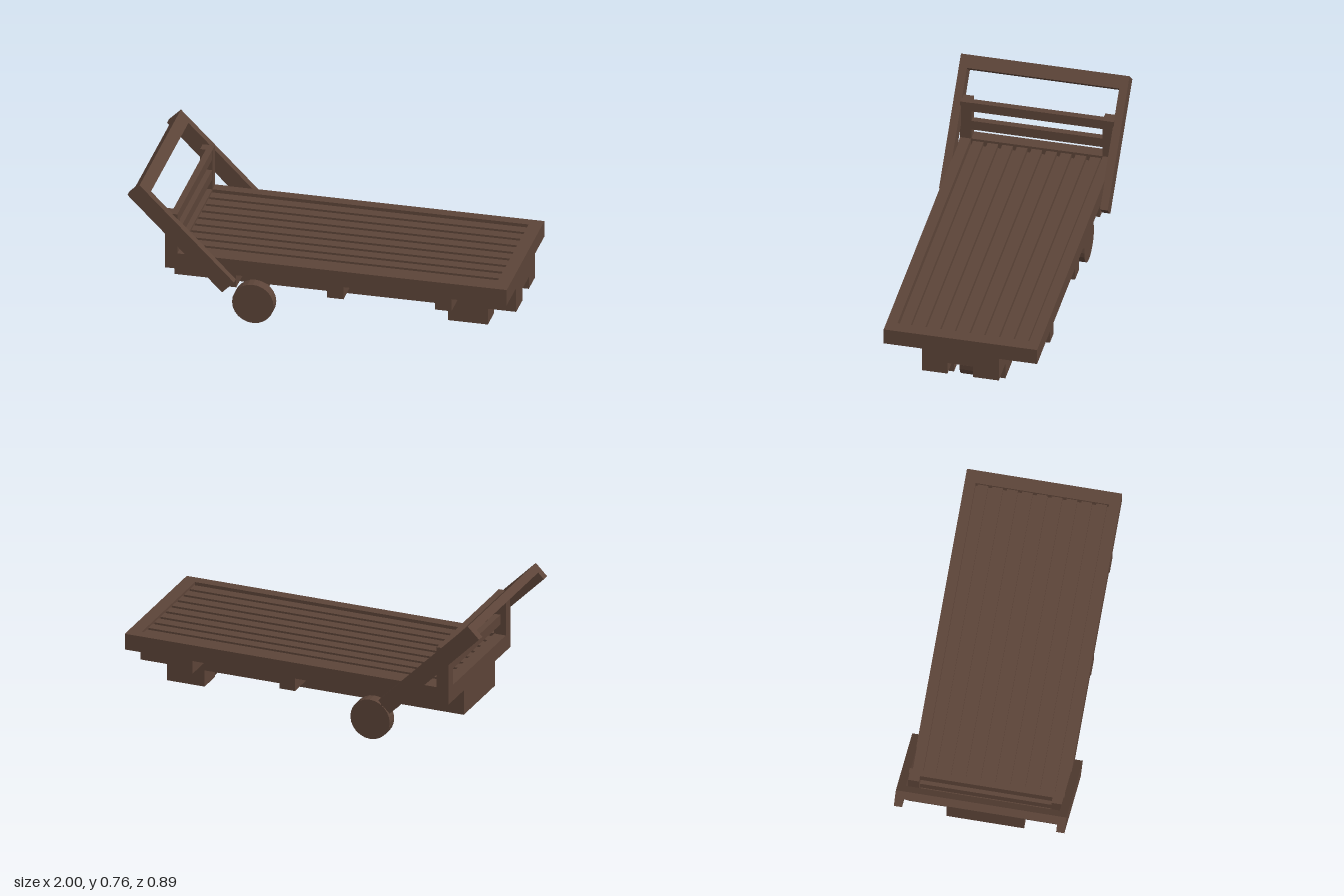
import * as THREE from 'three';

export function createModel() {
  const model = new THREE.Group();
  model.name = 'platformCart';
  const wood = new THREE.MeshStandardMaterial({ color: 0x5c4438, flatShading: true });
  wood.name = 'dark brown wood';

  // Box given by its low and high limits on each axis
  const box = (name, [x0, x1], [y0, y1], [z0, z1], parent = model) => {
    const mesh = new THREE.Mesh(new THREE.BoxGeometry(x1 - x0, y1 - y0, z1 - z0), wood);
    mesh.position.set((x0 + x1) / 2, (y0 + y1) / 2, (z0 + z1) / 2);
    mesh.name = name;
    parent.add(mesh);
  };
  // The same box on both sides
  const pair = (name, xs, ys, [z0, z1], parent = model) => {
    box(name + 'Left', xs, ys, [z0, z1], parent);
    box(name + 'Right', xs, ys, [-z1, -z0], parent);
  };
  // Round part lying along z
  const round = (name, radius, width, x, y, z, sides = 20) => {
    const mesh = new THREE.Mesh(new THREE.CylinderGeometry(radius, radius, width, sides), wood);
    mesh.rotation.x = Math.PI / 2;
    mesh.position.set(x, y, z);
    mesh.name = name;
    model.add(mesh);
  };

  // Deck: floor, raised rim and slats set into it
  box('deckFloor', [-0.81, 1], [0.285, 0.335], [-0.405, 0.405]);
  pair('deckSideRim', [-0.81, 1], [0.335, 0.373], [0.348, 0.405]);
  box('deckBackRim', [-0.81, -0.745], [0.335, 0.373], [-0.348, 0.348]);
  box('deckFrontRim', [0.93, 1], [0.335, 0.373], [-0.348, 0.348]);
  for (let i = -4; i <= 4; i++) {
    const z = i * 0.0775;
    box('deckSlat', [-0.745, 0.93], [0.335, 0.36], [z - 0.028, z + 0.028]);
  }

  // Central beam, notched at the caster end
  box('centralBeam', [-0.81, 0.64], [0.148, 0.285], [-0.203, 0.203]);
  box('notchRoof', [0.64, 1], [0.215, 0.285], [-0.068, 0.068]);
  pair('beamFork', [0.64, 1], [0.148, 0.285], [0.068, 0.203]);

  // Cross bearers under the deck
  for (const x of [-0.52, 0.048, 0.62]) {
    pair('crossBearer', [x, x + 0.087], [0.215, 0.285], [0.203, 0.405]);
  }

  // Caster wheel and its blocks
  pair('casterBlock', [0.64, 0.85], [0.057, 0.148], [0.068, 0.203]);
  box('casterBackBlock', [0.64, 0.665], [0.12, 0.215], [-0.068, 0.068]);
  round('casterWheel', 0.1, 0.082, 0.745, 0.1, 0);
  round('casterAxle', 0.02, 0.15, 0.745, 0.1, 0, 12);

  // Main axle and wheels
  round('mainAxle', 0.031, 0.64, -0.355, 0.111, 0, 16);
  for (const s of [-1, 1]) round('mainWheel', 0.11, 0.06, -0.355, 0.11, s * 0.336, 24);

  // Backrest posts and rails
  pair('backPost', [-0.81, -0.745], [0.373, 0.598], [0.346, 0.406]);
  for (const y of [0.43, 0.544]) box('backRail', [-0.78, -0.746], [y, y + 0.054], [-0.346, 0.346]);

  // Slanted push handle
  const handle = new THREE.Group();
  handle.name = 'pushHandle';
  handle.position.set(-0.717, 0.48, 0);
  handle.rotation.z = -Math.PI / 4;
  pair('handleBar', [-0.354, 0.354], [-0.045, 0.045], [0.402, 0.445], handle);
  box('handleCrossbar', [-0.354, -0.283], [0, 0.045], [-0.402, 0.402], handle);
  model.add(handle);

  return model;
}
